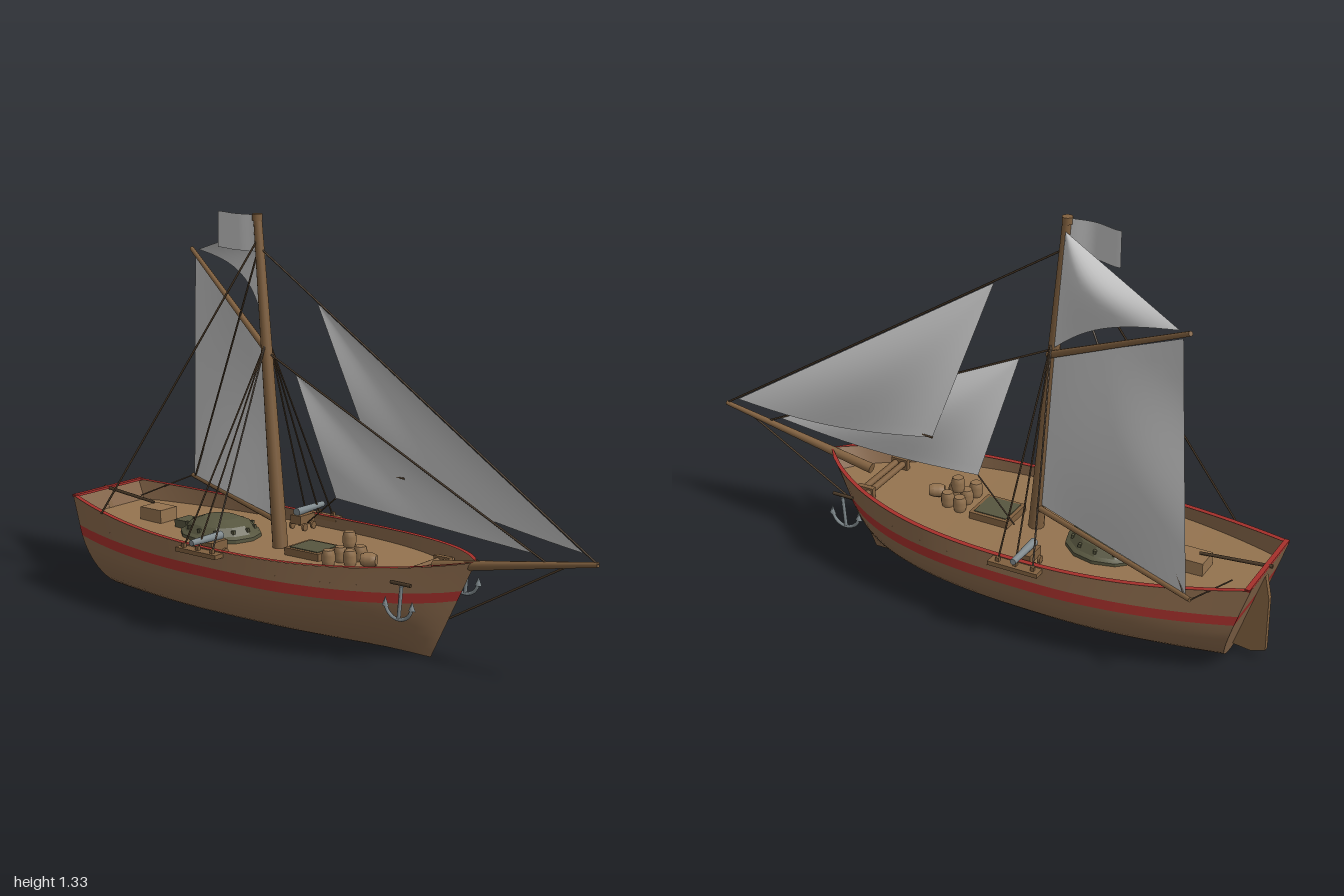
import * as THREE from 'three';
import { toCreasedNormals } from 'three/addons/utils/BufferGeometryUtils.js';

const mat = (name, color, side = THREE.FrontSide) => {
  const m = new THREE.MeshStandardMaterial({ color, side });
  m.name = name;
  return m;
};
const V = (x, y, z) => new THREE.Vector3(x, y, z);

// Grid surface from a rule f(u, v) -> Vector3
function surface(f, nu, nv) {
  const pos = [], idx = [];
  for (let i = 0; i <= nu; i++)
    for (let j = 0; j <= nv; j++) pos.push(...f(i / nu, j / nv).toArray());
  for (let i = 0; i < nu; i++)
    for (let j = 0; j < nv; j++) {
      const a = i * (nv + 1) + j, b = a + nv + 1;
      idx.push(a, b, a + 1, b, b + 1, a + 1);
    }
  const g = new THREE.BufferGeometry();
  g.setAttribute('position', new THREE.Float32BufferAttribute(pos, 3));
  g.setIndex(idx);
  g.computeVertexNormals();
  return g;
}

// Hull rules: u runs from stern (0) to bow (1)
const sheer = (u) => 0.293 + 0.04 * (2 * u - 1) ** 2;
const hullX = (u, y) => THREE.MathUtils.lerp(-0.88 - 0.33 * y, 0.41 + 0.49 * y, u);
const deckY = (u) => 0.25 + 0.3 * (sheer(u) - 0.293);
function halfWidth(u, y) {
  const t = (u - 0.42) / 0.58;
  const plan = u < 0.42 ? 0.29 - 0.125 * (1 - u / 0.42) ** 2 : 0.29 * Math.max(0, 1 - t ** 3) ** 0.8;
  const k = Math.min(1, y / 0.21);
  const fullness = Math.pow(1 - (1 - k) ** 2, 0.55 + 0.3 * u ** 3);
  return plan * fullness * (1 - 0.25 * Math.max(0, y - 0.22));
}

export function createModel() {
  const ship = new THREE.Group();
  ship.name = 'sailingShip';
  const D = THREE.DoubleSide;
  const hullWood = mat('hullWood', 0x87674a, D), wood = mat('sparWood', 0x80603f);
  const deckWood = mat('deckWood', 0x94734f, D), red = mat('redPaint', 0xa5302b, D);
  const canvas = mat('sailCanvas', 0xc6c6c6, D), rope = mat('rope', 0x4c3b29);
  const iron = mat('greyIron', 0x7f898d), olive = mat('darkOlive', 0x57563f);

  const add = (name, geo, m, x = 0, y = 0, z = 0, parent = ship) => {
    const mesh = new THREE.Mesh(geo, m);
    mesh.name = name;
    mesh.position.set(x, y, z);
    parent.add(mesh);
    return mesh;
  };
  const box = (name, w, h, d, m, x, y, z) => add(name, new THREE.BoxGeometry(w, h, d), m, x, y, z);
  // Round bar between two points
  const bar = (name, a, b, r1, r2, m, sides = 8) => {
    const mesh = add(name, new THREE.CylinderGeometry(r2, r1, a.distanceTo(b), sides), m);
    mesh.position.copy(a).lerp(b, 0.5);
    mesh.quaternion.setFromUnitVectors(V(0, 1, 0), b.clone().sub(a).normalize());
    return mesh;
  };
  const line = (name, a, b, r = 0.0035) => bar(name, a, b, r, r, rope, 5);

  // Hull sides and transom in three bands: bottom, painted stripe, bulwark
  const bands = [
    ['hullBottom', hullWood, (v) => 0.2 * v * v, 12],
    ['hullStripe', red, (v) => 0.2 + 0.034 * v, 1],
    ['bulwark', hullWood, (v, u) => THREE.MathUtils.lerp(0.234, sheer(u), v), 2],
  ];
  for (const [name, m, level, n] of bands) {
    for (const s of [1, -1])
      add(name, surface((u, v) => {
        const y = level(v, u);
        return V(hullX(u, y), y, s * halfWidth(u, y));
      }, 44, n), m);
    add(name + 'Transom', surface((a, v) => {
      const y = level(v, 0);
      return V(hullX(0, y), y, (2 * a - 1) * halfWidth(0, y));
    }, 6, n), m);
  }

  // Deck and red cap rail
  add('deck', surface((u, v) => {
    const y = deckY(u);
    return V(hullX(u, y), y, (1 - 2 * v) * halfWidth(u, y));
  }, 40, 2), deckWood);
  for (const s of [1, -1])
    add('capRail', surface((u, v) => {
      const y = sheer(u), w = halfWidth(u, y);
      return V(hullX(u, y), y + 0.002, s * Math.max(0, w + 0.004 - 0.018 * v));
    }, 44, 1), red);
  box('sternRail', 0.016, 0.008, 0.33, red, -0.98, 0.333, 0);

  // Rudder and tiller
  const blade = new THREE.Shape([[-0.98, 0.3], [-0.996, 0.22], [-0.996, 0.035], [-0.95, 0.02], [-0.875, 0.03]]
    .map(([x, y]) => new THREE.Vector2(x, y)));
  add('rudder', new THREE.ExtrudeGeometry(blade, { depth: 0.02, bevelEnabled: false }), wood, 0, 0, -0.01);
  bar('tiller', V(-0.997, 0.333, 0), V(-0.76, 0.312, 0), 0.006, 0.005, rope, 6);

  // Mast, bowsprit, boom and gaff
  const boomEnd = V(-0.855, 0.34, -0.3), peak = V(-0.79, 1.16, -0.24);
  bar('mast', V(-0.196, 0.25, 0), V(-0.284, 1.32, 0), 0.026, 0.014, wood, 12);
  add('mastCap', new THREE.CylinderGeometry(0.017, 0.017, 0.022, 10), wood, -0.285, 1.318, 0);
  bar('bowsprit', V(0.42, 0.295, 0), V(0.998, 0.4, 0), 0.018, 0.008, wood, 10);
  bar('boom', V(-0.2, 0.327, -0.01), boomEnd, 0.01, 0.008, wood);
  bar('gaff', V(-0.235, 0.87, -0.01), peak, 0.012, 0.008, wood);

  // Sails: four corners, with a belly and a hollowed foot
  const sail = (name, topA, topB, footA, footB, belly, hollow = V(0, 0, 0)) =>
    add(name, surface((u, v) => {
      const p = topA.clone().lerp(topB, u).lerp(footA.clone().lerp(footB, u), v);
      p.addScaledVector(belly, Math.sin(Math.PI * u) * Math.sin(Math.PI * v));
      return p.addScaledVector(hollow, Math.sin(Math.PI * u) * v * v);
    }, 14, 14), canvas);
  sail('mainSail', V(-0.765, 1.135, -0.23), V(-0.255, 0.87, -0.015),
    V(-0.835, 0.345, -0.287), V(-0.222, 0.34, -0.015), V(0, 0, -0.08));
  const topHead = V(-0.285, 1.285, -0.012);
  sail('topSail', topHead, topHead, V(-0.755, 1.16, -0.235), V(-0.255, 0.9, -0.015), V(0, 0.02, -0.06), V(0.01, 0.055, -0.055));
  const jibHead = V(-0.04, 1.065, 0), jibClew = V(0.13, 0.53, -0.095);
  sail('outerJib', jibHead, jibHead, V(0.95, 0.425, 0), jibClew, V(0, 0, -0.05), V(0, -0.02, -0.02));
  const innerHead = V(-0.13, 0.83, 0), innerClew = V(-0.025, 0.425, -0.075);
  sail('innerJib', innerHead, innerHead, V(0.78, 0.395, 0), innerClew, V(0, 0, -0.05), V(0, -0.008, -0.02));

  // Waving flag
  add('flag', surface((u, v) => V(-0.285 - 0.185 * u, 1.325 - 0.117 * v, 0.02 * Math.sin(5 * u) * u), 10, 2), canvas);

  // Rigging
  line('outerForestay', V(-0.272, 1.22, 0), V(0.998, 0.4, 0));
  line('innerForestay', V(-0.24, 0.885, 0), V(0.83, 0.372, 0));
  line('bobstay', V(0.9, 0.38, 0), V(0.48, 0.14, 0));
  line('toppingLift', V(-0.272, 1.24, 0), V(-0.83, 0.34, -0.285));
  line('backstay', V(-0.275, 1.25, 0.01), V(-0.78, 0.315, 0.235));
  line('mainSheet', boomEnd, V(-0.9, 0.3, -0.08), 0.0025);
  line('innerJibSheet', innerClew, V(-0.18, 0.31, -0.12), 0.0025);
  line('outerJibSheet', jibClew, V(0.25, 0.53, -0.075), 0.004);

  for (const s of [1, -1]) {
    // Shrouds on their channel boards
    box('channelBoard', 0.17, 0.014, 0.04, wood, -0.277, 0.283, s * 0.302);
    for (const x of [-0.34, -0.28, -0.22]) {
      line('shroud', V(-0.245, 0.915, s * 0.012), V(x, 0.29, s * 0.305), 0.003);
      box('deadeye', 0.012, 0.016, 0.012, wood, x, 0.295, s * 0.305);
    }
    // Deck guns
    bar('gunBarrel', V(-0.285, 0.315, s * 0.19), V(-0.285, 0.317, s * 0.33), 0.014, 0.01, iron, 10);
    box('gunCarriage', 0.045, 0.03, 0.075, wood, -0.285, 0.289, s * 0.222);
    for (const dx of [-0.027, 0.027])
      for (const dz of [0.2, 0.245])
        add('gunWheel', new THREE.CylinderGeometry(0.013, 0.013, 0.008, 8).rotateZ(Math.PI / 2), wood,
          -0.285 + dx, 0.265, s * dz);
    // Bow anchors
    const z = s * 0.175;
    bar('anchorShank', V(0.425, 0.27, z), V(0.415, 0.165, z), 0.006, 0.006, iron, 6);
    bar('anchorStock', V(0.385, 0.278, z), V(0.46, 0.278, z), 0.006, 0.006, rope, 6);
    const arms = add('anchorArms', new THREE.TorusGeometry(0.05, 0.006, 6, 12, Math.PI * 0.9), iron, 0.415, 0.215, z);
    arms.rotation.z = Math.PI * 1.05;
    for (const dx of [-0.05, 0.05]) {
      const fluke = add('anchorFluke', new THREE.ConeGeometry(0.013, 0.03, 4), iron, 0.415 + dx, 0.215, z);
      fluke.scale.z = 0.6;
    }
  }

  // Windlass bars across the bow
  for (const x of [0.36, 0.388]) bar('windlassBar', V(x, 0.278, -0.14), V(x, 0.278, 0.14), 0.011, 0.011, wood);
  for (const s of [1, -1]) box('windlassPost', 0.06, 0.045, 0.018, wood, 0.374, 0.272, s * 0.11);

  // Domed deck cover with rim, studs and a step
  const dome = toCreasedNormals(new THREE.LatheGeometry([[0.142, 0], [0.142, 0.012], [0.128, 0.02], [0.105, 0.045],
    [0.06, 0.062], [0, 0.066]].map(([x, y]) => new THREE.Vector2(x, y)), 12), 0.3);
  add('deckDome', dome, olive, -0.455, 0.25, 0).scale.z = 0.9;
  for (let i = 0; i < 12; i++) {
    const a = (i * Math.PI) / 6;
    box('domeStud', 0.01, 0.012, 0.01, olive, -0.455 + 0.118 * Math.cos(a), 0.283, 0.106 * Math.sin(a));
  }
  box('domeStep', 0.055, 0.03, 0.07, olive, -0.605, 0.265, 0);

  // Helm box and hatch
  box('helmBox', 0.095, 0.045, 0.08, deckWood, -0.74, 0.278, 0);
  box('hatchFrame', 0.14, 0.025, 0.13, wood, -0.055, 0.262, 0);
  box('hatchCover', 0.115, 0.008, 0.105, olive, -0.055, 0.273, 0);

  // Barrels: one on top of the cluster and one lying down
  const barrel = toCreasedNormals(new THREE.LatheGeometry([[0, -0.025], [0.018, -0.025], [0.023, -0.009], [0.023, 0.009],
    [0.018, 0.025], [0, 0.025]].map(([x, y]) => new THREE.Vector2(x, y)), 10), 0.8);
  for (const [x, y, z] of [[0.065, 0.276, 0.075], [0.12, 0.276, 0.035], [0.07, 0.276, 0.02], [0.115, 0.276, -0.025],
    [0.065, 0.276, -0.035], [0.09, 0.325, 0]])
    add('barrel', barrel, deckWood, x, y, z);
  add('lyingBarrel', barrel, deckWood, 0.175, 0.274, 0.01).rotation.set(0, 0.4, Math.PI / 2);

  return ship;
}
